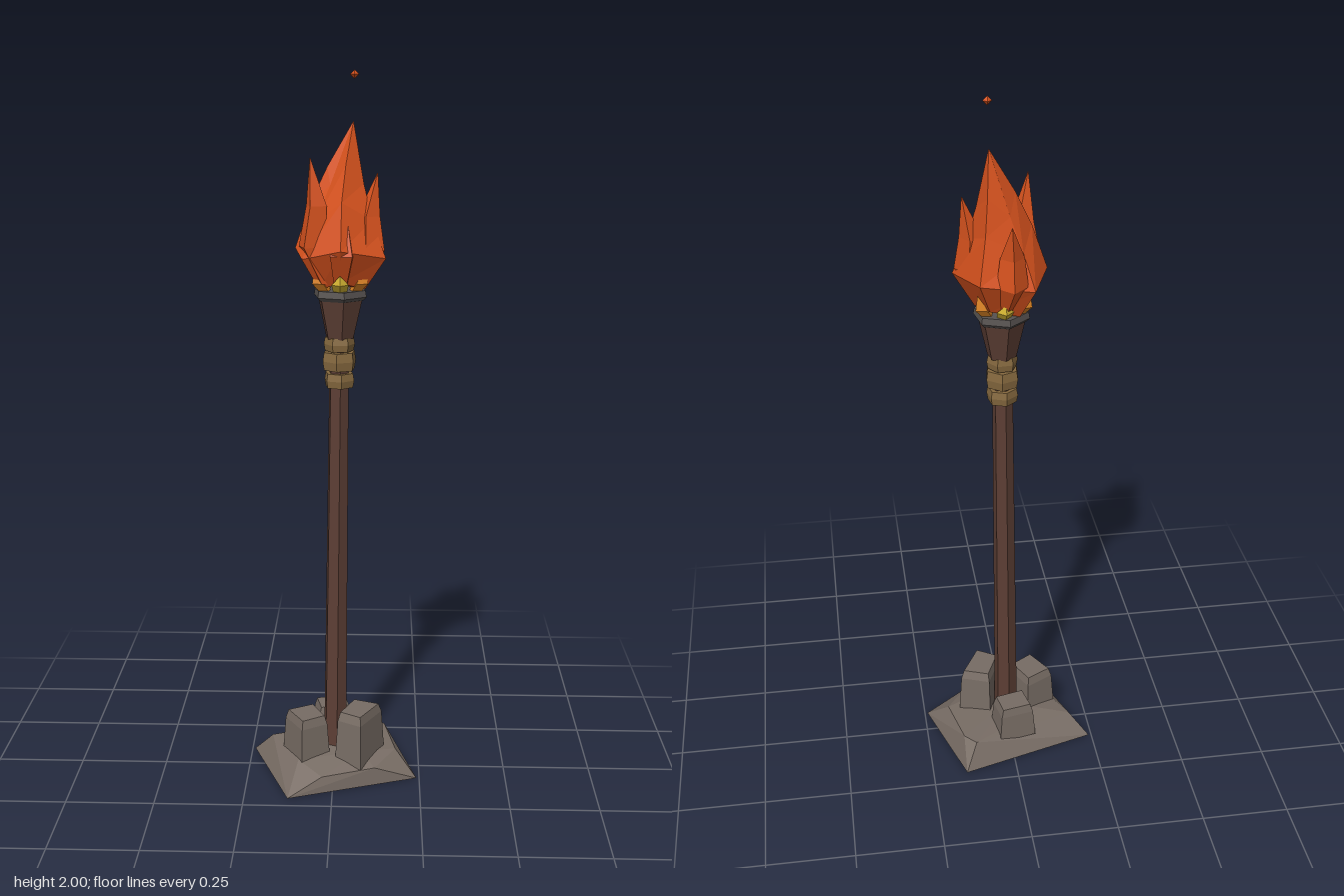
import * as THREE from 'three';
import { ConvexGeometry } from 'three/addons/geometries/ConvexGeometry.js';

const mat = (name, color) => {
  const m = new THREE.MeshStandardMaterial({ color, flatShading: true });
  m.name = name;
  return m;
};

// Ring of n corners around (x, z) at height y
const ring = (y, x, z, r, n = 6, turn = 0.35) => Array.from({ length: n }, (_, i) => {
  const a = turn + i / n * Math.PI * 2;
  return [x + Math.cos(a) * r, y, z + Math.sin(a) * r];
});

// Faceted skin over a stack of rings, capped at both ends
function loft(rings) {
  const pos = [];
  const tri = (...p) => p.forEach(v => pos.push(...v));
  const mid = r => [0, 1, 2].map(k => r.reduce((s, p) => s + p[k], 0) / r.length);
  const n = rings[0].length, last = rings[rings.length - 1];
  for (let i = 0; i < n; i++) {
    const j = (i + 1) % n;
    for (let k = 0; k < rings.length - 1; k++) {
      const a = rings[k], b = rings[k + 1];
      tri(a[i], b[i], a[j]);
      tri(a[j], b[i], b[j]);
    }
    tri(mid(rings[0]), rings[0][i], rings[0][j]);
    tri(mid(last), last[j], last[i]);
  }
  const g = new THREE.BufferGeometry();
  g.setAttribute('position', new THREE.Float32BufferAttribute(pos, 3));
  g.computeVertexNormals();
  return g;
}

// Chunky stone: footprint tapering to a bevelled top
function rock(foot, top) {
  const cx = foot.reduce((s, p) => s + p[0], 0) / foot.length;
  const cz = foot.reduce((s, p) => s + p[1], 0) / foot.length;
  const pts = [];
  for (const [y, s] of [[0.05, 1], [top - 0.025, 0.88], [top, 0.76]]) {
    for (const [x, z] of foot) pts.push(new THREE.Vector3(cx + (x - cx) * s, y, cz + (z - cz) * s));
  }
  return new ConvexGeometry(pts);
}

export function createModel() {
  const stone = mat('stone', 0x776c64);
  const wood = mat('wood', 0x5c3e34);
  const rope = mat('rope', 0x86693f);
  const iron = mat('iron', 0x575250);
  const flame = mat('flame', 0xd9531e);
  const amber = mat('amber', 0xdd8424);
  const yellow = mat('yellow', 0xd8b834);

  const group = new THREE.Group();
  group.name = 'torch';
  const add = (name, geometry, material) => {
    const m = new THREE.Mesh(geometry, material);
    m.name = name;
    group.add(m);
    return m;
  };

  // Stone slab
  const slab = [
    [-0.242, 0, -0.098], [0.15, 0, -0.212], [0.242, 0, 0.077], [-0.126, 0, 0.21],
    [-0.185, 0.065, -0.06], [0.115, 0.072, -0.165], [0.148, 0.072, -0.13], [0.18, 0.065, 0.02],
    [0.12, 0.05, 0.115], [-0.03, 0.045, 0.165], [-0.1, 0.065, 0.1], [0.0, 0.08, 0.0],
    [0.08, 0.075, 0.06], [-0.1, 0.076, -0.04],
  ];
  add('baseSlab', new ConvexGeometry(slab.map(p => new THREE.Vector3(...p))), stone);

  // Stones wedged around the pole
  add('leftStone', rock([[0.148, 0.005], [0.08, 0.13], [0.005, 0.085], [0.055, -0.03]], 0.205), stone);
  add('rightStone', rock([[-0.15, 0.01], [-0.09, 0.112], [-0.01, 0.06], [-0.06, -0.04]], 0.183), stone);
  add('backStone', rock([[-0.07, -0.125], [0.04, -0.148], [0.057, -0.06], [-0.05, -0.035]], 0.16), stone);

  // Slightly leaning pole
  add('pole', loft([ring(0.06, 0.003, 0, 0.035), ring(1.3, 0.014, -0.011, 0.028)]), wood);

  // Rope bindings
  [[1.148, 1.188, 0.044], [1.197, 1.247, 0.049], [1.25, 1.288, 0.043]].forEach(([y0, y1, r], i) => {
    const t = 0.35 + i * 0.3, m = (y0 + y1) / 2;
    add('ropeBand' + (i + 1), loft([
      ring(y0, 0.014, -0.01, r * 0.92, 6, t), ring(m, 0.014, -0.01, r, 6, t), ring(y1, 0.014, -0.01, r * 0.92, 6, t),
    ]), rope);
  });

  // Cup and rim
  add('cup', loft([ring(1.285, 0.015, -0.011, 0.04), ring(1.4, 0.016, -0.012, 0.066)]), wood);
  add('cupRim', loft([ring(1.392, 0.016, -0.012, 0.068), ring(1.402, 0.016, -0.012, 0.077),
    ring(1.42, 0.016, -0.012, 0.074)]), iron);

  // Main flame: one uneven outline, scaled and shifted up to the tip
  const outline = [[0.14, 0.04], [0.02, 0.098], [-0.085, 0.05], [-0.106, -0.01], [-0.06, -0.108], [0.085, -0.114]];
  const wobble = [-0.01, 0.015, -0.012, 0.012, -0.015, 0.01];
  const layer = (y, s, dx, dz, w) => outline.map(([x, z], i) => [
    0.016 + dx + (x - 0.016) * s, y + wobble[i] * w, -0.012 + dz + (z + 0.012) * s]);
  add('mainFlame', loft([
    layer(1.432, 0.55, 0, 0, 0.8), layer(1.52, 1, 0, 0, 1), layer(1.63, 0.68, 0.003, 0, 2),
    layer(1.725, 0.4, 0.014, -0.01, 2), layer(1.865, 0.01, 0.034, -0.023, 0),
  ]), flame);

  // Side tongues: position at foot, belly, neck and tip
  const tongue = (name, path, radii, material, n = 4, turn = 0.5) => add(name,
    loft(path.map(([x, y, z], i) => ring(y, x, z, radii[i], n, turn))), material);
  const r = [0.025, 0.042, 0.032, 0.001];
  tongue('rightTongue', [[-0.02, 1.44, 0.02], [-0.058, 1.54, 0.03], [-0.046, 1.65, 0.035], [-0.062, 1.775, 0.045]], r, flame);
  tongue('leftTongue', [[0.06, 1.44, 0.0], [0.095, 1.53, 0.02], [0.092, 1.62, 0.008], [0.116, 1.733, 0.0]], r, flame, 4, 0.2);
  tongue('backTongue', [[0.01, 1.44, -0.06], [0.0, 1.52, -0.102], [0.0, 1.6, -0.1], [0.005, 1.693, -0.134]], r, flame, 4, 0);
  tongue('frontTongue', [[0.02, 1.44, 0.03], [0.025, 1.52, 0.06], [0.022, 1.58, 0.05], [0.03, 1.665, 0.045]], r, flame, 4, 0.9);

  // Small inner tongues licking out above the rim
  for (let i = 0; i < 6; i++) {
    const a = 0.5 + i * Math.PI / 3, c = Math.cos(a), s = Math.sin(a);
    const at = (d, y) => [0.016 + c * d, y, -0.012 + s * d];
    const hot = i % 3 === 1;
    tongue('innerTongue' + (i + 1), [at(0.045, 1.415), at(0.064, 1.44), at(0.078, hot ? 1.465 : 1.49)],
      [0.018, 0.023, 0.001], hot ? yellow : amber, 4, a);
  }

  // Drifting ember
  const ember = add('ember', new THREE.OctahedronGeometry(0.012), flame);
  ember.position.set(0.053, 1.988, -0.033);

  return group;
}
